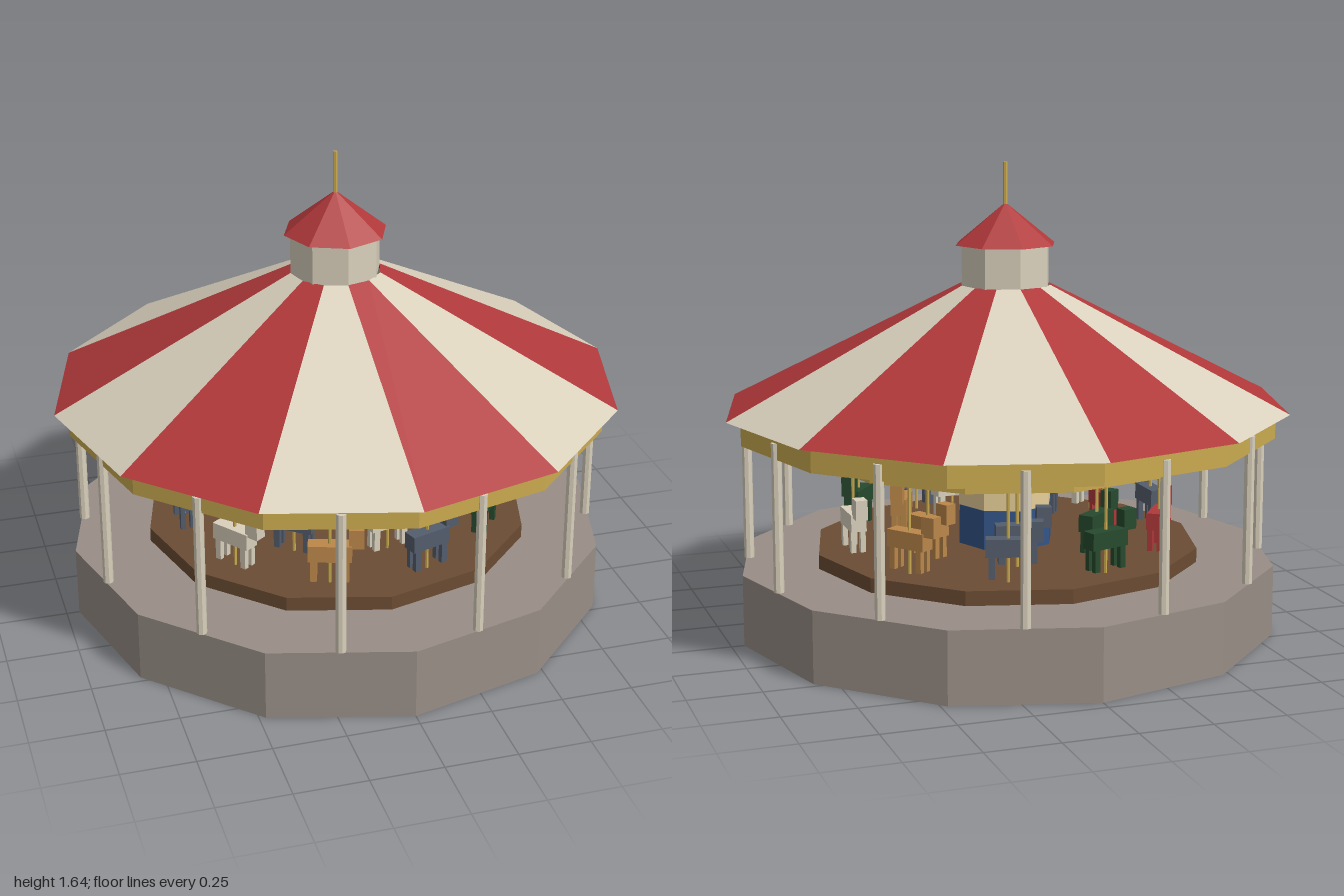
import * as THREE from 'three';

const mat = (name, color, side = THREE.DoubleSide) => {
  const m = new THREE.MeshStandardMaterial({ color, side, flatShading: true });
  m.name = name;
  return m;
};

export function createModel() {
  const model = new THREE.Group();
  model.name = 'carousel';
  const cream = mat('cream', 0xd9d0bc), red = mat('red', 0xb0383a), gold = mat('gold', 0xcbab50),
    stone = mat('stone', 0x988e86), wood = mat('wood', 0x6b4c33), blue = mat('blue', 0x33558a),
    panel = mat('panel', 0xe6cf98), tan = mat('tan', 0xbb874a), slate = mat('slate', 0x535d6c),
    green = mat('green', 0x274a2e);

  const add = (parent, name, geometry, material, x = 0, y = 0, z = 0) => {
    const mesh = new THREE.Mesh(geometry, material);
    mesh.name = name;
    mesh.position.set(x, y, z);
    parent.add(mesh);
    return mesh;
  };
  // upright prism from y0 to y1
  const prism = (parent, name, material, rTop, rBottom, y0, y1, sides, open = false, x = 0, z = 0) =>
    add(parent, name, new THREE.CylinderGeometry(rTop, rBottom, y1 - y0, sides, 1, open),
      material, x, (y0 + y1) / 2, z);

  // base, hollow below
  prism(model, 'baseWall', stone, 0.955, 0.955, 0, 0.25, 12, true);
  const floor = new THREE.CircleGeometry(0.955, 12).rotateX(-Math.PI / 2);
  add(model, 'baseFloor', floor, stone, 0, 0.25, 0);
  prism(model, 'turntable', wood, 0.685, 0.685, 0.25, 0.3, 12);

  // central drum
  prism(model, 'drumLower', blue, 0.172, 0.172, 0.3, 0.44, 8);
  prism(model, 'drumPanels', panel, 0.17, 0.17, 0.44, 0.565, 8, true);
  prism(model, 'drumUpper', blue, 0.172, 0.172, 0.565, 0.615, 8);

  // gold bands
  prism(model, 'fascia', gold, 0.95, 0.95, 0.705, 0.79, 12, true);
  prism(model, 'innerBand', gold, 0.685, 0.685, 0.625, 0.675, 12, true);

  // columns, one in the middle of each side
  for (let i = 0; i < 12; i++) {
    const a = (i + 0.5) * Math.PI / 6;
    prism(model, 'column', cream, 0.018, 0.018, 0.25, 0.76, 8, false, 0.912 * Math.cos(a), 0.912 * Math.sin(a));
  }

  // striped roof
  for (let i = 0; i < 12; i++) {
    const stripe = new THREE.CylinderGeometry(0.16, 1, 0.43, 1, 1, true, i * Math.PI / 6, Math.PI / 6);
    add(model, 'roofStripe', stripe, i % 2 ? cream : red, 0, 1.005, 0);
  }

  // cupola and spire
  prism(model, 'cupola', cream, 0.16, 0.16, 1.215, 1.36, 8, true);
  add(model, 'cupolaCap', new THREE.ConeGeometry(0.182, 0.145, 8, 1, true), red, 0, 1.4325, 0);
  prism(model, 'spire', gold, 0.008, 0.008, 1.49, 1.645, 6);

  // horse facing -z, with its pole
  const body = new THREE.BoxGeometry(0.055, 0.06, 0.15);
  const head = new THREE.BoxGeometry(0.042, 0.07, 0.052);
  const leg = new THREE.BoxGeometry(0.018, 0.078, 0.022);
  const horse = (radius, angle, coat) => {
    const g = new THREE.Group();
    g.name = 'horse';
    add(g, 'body', body, coat, 0, 0.42, 0);
    add(g, 'head', head, coat, 0, 0.475, -0.09);
    for (const x of [-0.017, 0.017])
      for (const z of [-0.055, 0.055]) add(g, 'leg', leg, coat, x, 0.353, z);
    prism(g, 'pole', gold, 0.006, 0.006, 0.3, 0.65, 6);
    g.position.set(radius * Math.cos(angle), 0, radius * Math.sin(angle));
    g.rotation.y = -angle;
    model.add(g);
  };
  const ring = (radius, start, coats) =>
    coats.forEach((coat, i) => horse(radius, start + i * 2 * Math.PI / coats.length, coat));
  ring(0.56, 0, [cream, green, slate, tan, cream, slate, red, green, slate, tan]);
  ring(0.375, Math.PI, [red, green, slate, tan, tan, cream, slate]);

  return model;
}
